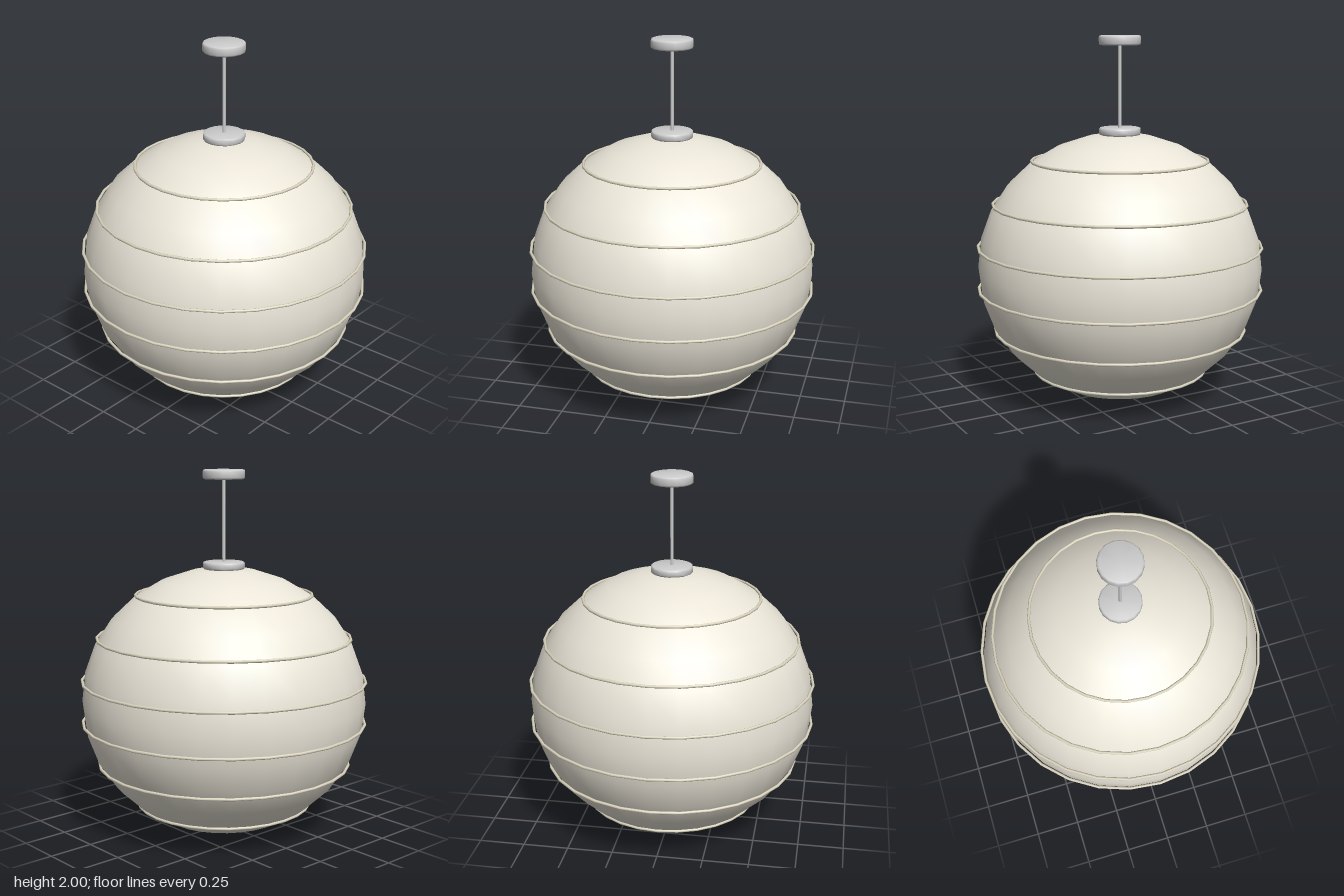
import * as THREE from 'three';
import { toCreasedNormals } from 'three/addons/utils/BufferGeometryUtils.js';

const SIDES = 28;
const RX = 0.785, RY = 0.7375; // globe half width and half height

const metal = new THREE.MeshStandardMaterial({ color: 0xcccccc });
const paper = new THREE.MeshStandardMaterial({ color: 0xeae5d8 });
const wire = new THREE.MeshStandardMaterial({ color: 0xd8d2bc });

function part(name, geometry, material, y) {
  const mesh = new THREE.Mesh(geometry, material);
  mesh.name = name;
  mesh.position.y = y;
  return mesh;
}

// Round plate with softened rims, centred on its own height
function plate(radius, height, bevel) {
  const h = height / 2;
  const profile = [
    [0, -h], [radius - bevel, -h], [radius - bevel * 0.3, -h + bevel * 0.3], [radius, -h + bevel],
    [radius, h - bevel], [radius - bevel * 0.3, h - bevel * 0.3], [radius - bevel, h], [0, h],
  ].map(([x, y]) => new THREE.Vector2(x, y));
  return toCreasedNormals(new THREE.LatheGeometry(profile, 16), 0.9);
}

export function createModel() {
  const lamp = new THREE.Group();
  lamp.name = 'pendantLamp';

  // Slightly flattened globe shade
  const globe = new THREE.SphereGeometry(RX, SIDES, 14).scale(1, RY / RX, 1);
  lamp.add(part('shade', globe, paper, RY));

  // Horizontal ribs following the shade
  const ribs = new THREE.Group();
  ribs.name = 'ribs';
  for (let i = 0; i < 6; i++) {
    const offset = (i - 2.5) * 0.235;
    const radius = RX * Math.sqrt(1 - (offset / RY) ** 2) + 0.009;
    const ring = new THREE.TorusGeometry(radius, 0.008, 8, SIDES).rotateX(Math.PI / 2);
    ribs.add(part('rib', ring, wire, RY + offset));
  }
  lamp.add(ribs);

  // Cap on the shade, hanging rod and ceiling plate
  lamp.add(part('shadeCap', plate(0.114, 0.04, 0.008), metal, 1.485));
  lamp.add(part('rod', new THREE.CylinderGeometry(0.009, 0.009, 0.5, 12), metal, 1.72));
  lamp.add(part('ceilingPlate', plate(0.114, 0.052, 0.01), metal, 1.974));

  return lamp;
}
